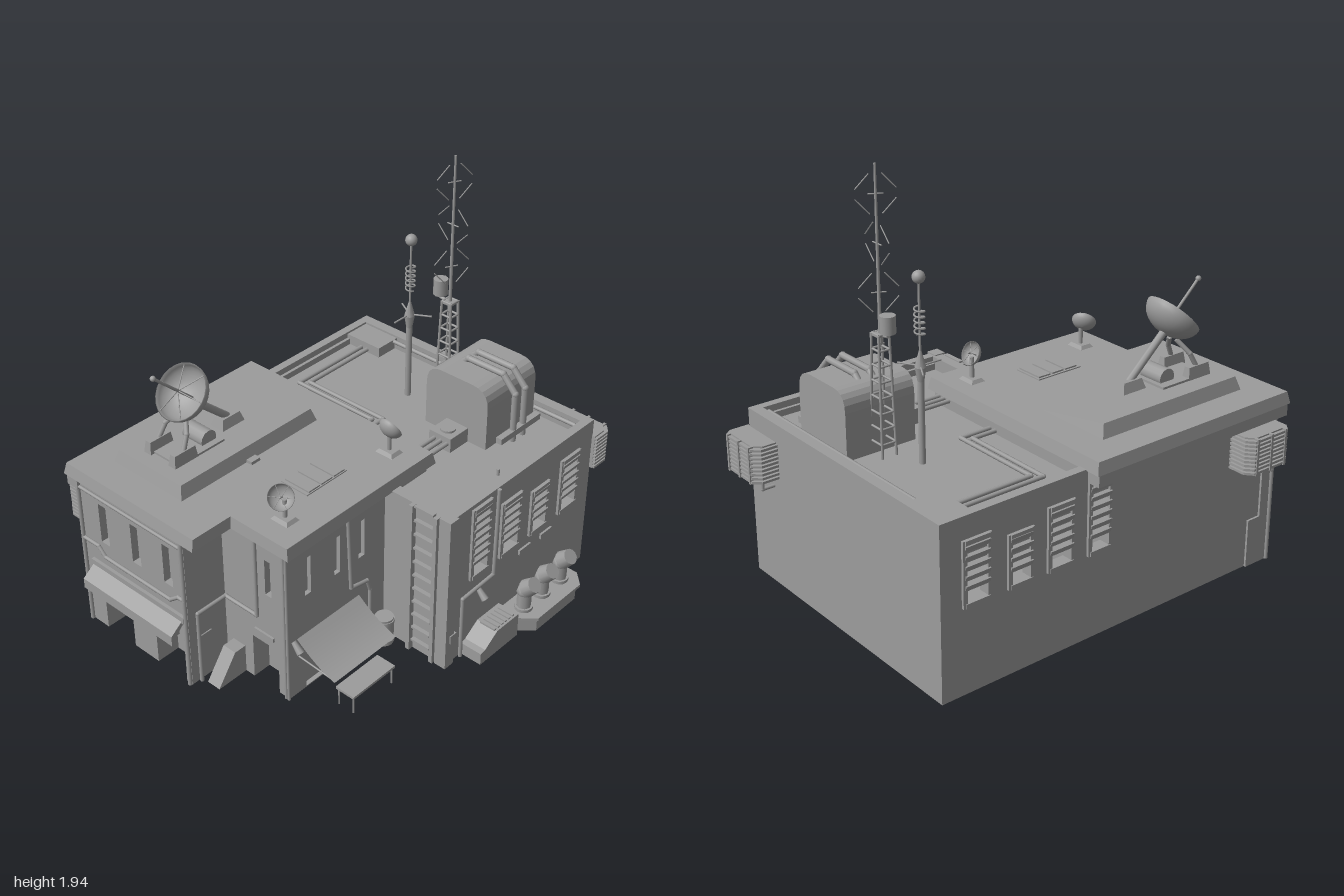
import * as THREE from 'three';

const GREY = 0x9c9c9c;
const mat = new THREE.MeshStandardMaterial({ color: GREY, flatShading: true });
const smooth = new THREE.MeshStandardMaterial({ color: GREY, side: THREE.DoubleSide });
const V = (x, y, z) => new THREE.Vector3(x, y, z);

export function createModel() {
  const root = new THREE.Group();
  const add = (name, geo, parent = root, m = mat) => {
    const mesh = new THREE.Mesh(geo, m);
    mesh.name = name;
    parent.add(mesh);
    return mesh;
  };
  const group = (name, x = 0, y = 0, z = 0, parent = root) => {
    const g = new THREE.Group();
    g.name = name;
    g.position.set(x, y, z);
    parent.add(g);
    return g;
  };
  // box given by its limits; inset narrows the top
  const box = (name, x0, x1, y0, y1, z0, z1, parent = root, inset = 0) => {
    const g = new THREE.BoxGeometry(x1 - x0, y1 - y0, z1 - z0);
    const p = g.attributes.position;
    for (let i = 0; i < p.count; i++) if (inset && p.getY(i) > 0) {
      p.setX(i, p.getX(i) - Math.sign(p.getX(i)) * inset);
      p.setZ(i, p.getZ(i) - Math.sign(p.getZ(i)) * inset);
    }
    g.computeVertexNormals();
    const m = add(name, g, parent);
    m.position.set((x0 + x1) / 2, (y0 + y1) / 2, (z0 + z1) / 2);
    return m;
  };
  const rod = (name, a, b, r, parent = root, r2 = r, sides = 8) => {
    const m = add(name, new THREE.CylinderGeometry(r2, r, a.distanceTo(b), sides), parent, smooth);
    m.position.copy(a).lerp(b, 0.5);
    m.quaternion.setFromUnitVectors(V(0, 1, 0), b.clone().sub(a).normalize());
  };
  const pipe = (name, pts, r, parent = root) => {
    const g = group(name, 0, 0, 0, parent);
    pts = pts.map(p => V(...p));
    pts.slice(1).forEach((p, i) => {
      rod('pipeRun', pts[i], p, r, g);
      if (i < pts.length - 2) add('pipeJoint', new THREE.SphereGeometry(r * 1.1, 8, 6), g, smooth).position.copy(p);
    });
  };
  const outline = pts => new THREE.Shape(pts.map(p => new THREE.Vector2(...p)));
  const rect = ([a, b, c, d]) => [[a, c], [b, c], [b, d], [a, d]];
  const extrude = (shape, depth) =>
    new THREE.ExtrudeGeometry(shape, { depth, bevelEnabled: false, curveSegments: 5 });
  // flat plate drawn as a plan of (x, -z) points, rising from y
  const plate = (name, pts, y, h, parent = root) => {
    const m = add(name, extrude(outline(pts), h), parent);
    m.rotation.x = -Math.PI / 2;
    m.position.y = y;
  };
  // wall with openings, across x at depth z or along z at position x
  const wall = (name, axis, at, thick, limits, holes) => {
    const flip = r => axis === 'x' ? [-r[1], -r[0], r[2], r[3]] : r;
    const s = outline(rect(flip(limits)));
    holes.forEach(h => s.holes.push(new THREE.Path(rect(flip(h)).map(p => new THREE.Vector2(...p)))));
    const m = add(name, extrude(s, thick));
    if (axis === 'x') m.rotation.y = Math.PI / 2;
    m.position[axis] = at;
  };

  // Rear block: open shell with parapet and louvred windows
  const wins = [[-0.14, -0.03, 0.74], [-0.35, -0.23, 0.66], [-0.55, -0.44, 0.61], [-0.77, -0.65, 0.66]];
  const openings = wins.map(([a, b, t]) => [a + 0.01, b - 0.01, 0.41, t]);
  wall('rearRightWall', 'x', 0.61, 0.04, [-0.87, 0.12, 0, 0.78], openings);
  wall('rearLeftWall', 'x', -0.7, 0.04, [-0.87, 0.12, 0, 0.78], openings);
  box('backWall', -0.7, 0.65, 0, 0.78, -0.88, -0.83);
  box('rearFrontWall', 0.28, 0.61, 0, 0.78, 0.07, 0.12);
  box('rearRoof', -0.67, 0.62, 0.68, 0.72, -0.84, 0.1);
  box('floor', -0.69, 0.64, 0, 0.02, -0.87, 0.11);
  box('parapetLedge', -0.66, -0.645, 0.72, 0.75, -0.83, -0.15);
  box('parapetLedge', 0.595, 0.61, 0.72, 0.75, -0.83, 0.07);
  box('parapetLedge', -0.66, 0.61, 0.72, 0.75, -0.83, -0.815);
  for (const s of [1, -1]) wins.forEach(([a, b, t]) => {
    const g = group('louvredWindow', s > 0 ? 0.65 : -0.7, 0, 0);
    for (const z of [a, b]) box('frameSide', -0.012, 0.012, 0.39, t + 0.02, z - 0.01, z + 0.01, g);
    for (const y of [0.4, t + 0.01]) box('frameEnd', -0.016, 0.016, y - 0.01, y + 0.01, a, b, g);
    for (let y = 0.48; y < t; y += 0.042) {
      box('slat', -0.015, 0.015, y - 0.012, y + 0.012, a, b, g).rotation.z = -s * 0.3;
    }
    box('blind', -0.012 - s * 0.01, 0.002 - s * 0.01, t - 0.08, t, a, b, g);
  });

  // Front block: cores set back at the doors, thin outer walls with windows
  box('frontLeftCore', -0.7, -0.07, 0.23, 0.78, 0.1, 0.89);
  box('frontLeftBase', -0.7, -0.07, 0, 0.23, 0.1, 0.81);
  box('frontRightCore', -0.08, 0.28, 0.23, 0.78, 0.1, 0.68);
  box('frontRightBase', -0.08, 0.28, 0, 0.23, 0.1, 0.62);
  wall('frontLeftWall', 'z', 0.87, 0.055, [-0.71, -0.065, 0.23, 0.78],
    [-0.565, -0.365, -0.17].map(x => [x - 0.027, x + 0.027, 0.49, 0.69]));
  for (const [a, b] of [[-0.71, -0.61], [-0.43, -0.28], [-0.1, -0.065]]) box('frontPier', a, b, 0, 0.23, 0.8, 0.925);
  wall('frontRightWall', 'z', 0.67, 0.04, [-0.07, 0.3, 0.23, 0.78], [[0.175, 0.21, 0.5, 0.68]]);
  for (const [a, b] of [[-0.07, 0.09], [0.24, 0.3]]) box('frontPier', a, b, 0, 0.23, 0.61, 0.71);
  wall('frontSideWall', 'x', 0.27, 0.03, [0.1, 0.71, 0, 0.78],
    [[0.29, 0.65, 0.005, 0.2], ...[0.59, 0.415, 0.265].map(z => [z - 0.018, z + 0.018, 0.5, 0.69])]);
  const roofGeo = extrude(outline([[-0.77, 0.16], [-0.77, -0.95], [0.02, -0.95], [0.02, -0.74], [0.34, -0.74], [0.34, 0.16]]), 0.055);
  const rp = roofGeo.attributes.position;
  for (let i = 0; i < rp.count; i++) if (rp.getZ(i) > 0.03) {
    rp.setX(i, (rp.getX(i) + 0.21) * 0.98 - 0.21);
    rp.setY(i, (rp.getY(i) + 0.39) * 0.98 - 0.39);
  }
  roofGeo.computeVertexNormals();
  const roof = add('frontRoof', roofGeo);
  roof.rotation.x = -Math.PI / 2;
  roof.position.y = 0.775;
  box('roofRearWall', -0.7, 0.3, 0.7, 0.78, -0.15, 0.1);
  box('leftFascia', -0.765, -0.7, 0.72, 0.78, -0.15, 0.94);
  box('roofPlatform', -0.62, -0.2, 0.825, 0.89, 0, 0.8, root, 0.02);
  box('roofSmallBox', -0.2, -0.17, 0.83, 0.845, 0.38, 0.43);
  box('roofHatchBase', 0, 0.15, 0.825, 0.835, 0.19, 0.43);
  for (let i = 0; i < 3; i++) box('roofHatch', 0.01, 0.145, 0.83, 0.842, 0.2 + i * 0.075, 0.265 + i * 0.075);

  // Awnings, lamps, table
  const frontAwning = add('frontAwning', extrude(outline([[0.92, 0.36], [0.92, 0.34], [0.99, 0.27], [1, 0.25], [1, 0.3]]), 0.56));
  frontAwning.rotation.y = -Math.PI / 2;
  frontAwning.position.x = -0.09;
  box('awningRail', -0.66, -0.08, 0.335, 0.37, 0.92, 0.94);
  for (const x of [-0.58, -0.375, -0.15]) box('doorLamp', x - 0.025, x + 0.025, 0.25, 0.29, 0.92, 0.95);
  const cloth = new THREE.PlaneGeometry(0.21, 0.38, 8, 1).rotateX(-Math.PI / 2);
  const cp = cloth.attributes.position;
  for (let i = 0; i < cp.count; i++) {
    const t = cp.getX(i) / 0.21 + 0.5;
    cp.setY(i, 0.3 - 0.11 * t + 0.06 * t * (t - 1));
  }
  cloth.computeVertexNormals();
  add('sideAwning', cloth, root, smooth).position.set(0.405, 0, 0.47);
  for (const z of [0.29, 0.65]) rod('awningPole', V(0.3, 0.2, z), V(0.505, 0.188, z), 0.004);
  box('tableTop', 0.46, 0.56, 0.085, 0.097, 0.34, 0.6);
  for (const x of [0.47, 0.55]) for (const z of [0.35, 0.59]) rod('tableLeg', V(x, 0, z), V(x, 0.09, z), 0.004);

  // Wall pipes and small wall fittings
  pipe('frontTopPipe', [[-0.71, 0.73, 0.93], [-0.08, 0.73, 0.93]], 0.008);
  pipe('frontBandPipe', [[-0.71, 0.46, 0.93], [-0.61, 0.46, 0.93], [-0.57, 0.42, 0.93], [-0.16, 0.42, 0.93], [-0.11, 0.46, 0.93], [-0.07, 0.46, 0.93]], 0.009);
  for (const x of [-0.075, -0.71]) pipe('cornerPipe', [[x, 0, 0.93], [x, 0.78, 0.93]], 0.01);
  pipe('cornerWallPipe', [[0.13, 0.78, 0.72], [0.13, 0.37, 0.72], [-0.055, 0.37, 0.72], [-0.055, 0.37, 0.88], [-0.055, 0, 0.88]], 0.009);
  pipe('sidePipe', [[0.31, 0.78, 0.36], [0.31, 0.38, 0.34], [0.31, 0.36, 0.24], [0.31, 0.3, 0.22], [0.31, 0, 0.22]], 0.009);
  pipe('rearSidePipe', [[0.66, 0.78, -0.19], [0.66, 0.33, -0.185], [0.66, 0.32, 0.025], [0.66, 0, 0.025]], 0.009);
  for (const x of [0.285, 0.3]) pipe('frontRightPipe', [[x, 0, 0.715], [x, 0.78, 0.715]], 0.007);
  box('wallLight', 0.11, 0.22, 0.27, 0.29, 0.71, 0.72);
  for (const z of [-0.41, -0.565]) box('sideLight', 0.65, 0.66, 0.32, 0.345, z - 0.04, z + 0.04);
  box('meterBox', 0.65, 0.67, 0.13, 0.17, 0.07, 0.11);
  for (const [x, z] of [[0.31, 0.81], [0.66, -0.095]]) {
    const zz = Math.min(z, 0.68);
    rod('wallLamp', V(x - 0.01, 0.3, zz), V(x + 0.03, 0.26, zz), 0.012, root, 0.018);
  }
  box('fuseBox', -0.04, 0.04, 0, 0.12, 0.71, 0.74);
  const ramp = add('sideVent', extrude(outline([[0.7, 0], [0.87, 0], [0.77, 0.14], [0.7, 0.14]]), 0.07));
  ramp.rotation.y = -Math.PI / 2;
  ramp.position.x = 0.04;
  rod('barrel', V(0.35, 0, 0.17), V(0.35, 0.14, 0.17), 0.042, root, 0.042, 16);
  for (const y of [0.01, 0.115]) rod('barrelBand', V(0.35, y, 0.17), V(0.35, y + 0.015, 0.17), 0.046, root, 0.046, 16);

  // Ladder on the rear block's front
  for (const x of [0.46, 0.59]) box('ladderRail', x - 0.01, x + 0.01, 0, 0.78, 0.12, 0.145);
  for (let y = 0.06; y < 0.78; y += 0.072) box('ladderRung', 0.475, 0.575, y - 0.005, y + 0.005, 0.118, 0.14);
  box('cornerDuct', 0.605, 0.665, 0, 0.785, 0.08, 0.135);

  // Right side vents: chamfered plinth, three bent stacks, sloped duct
  plate('ventPlinth', [[0.64, 0.25], [0.72, 0.25], [0.805, 0.33], [0.805, 0.62], [0.75, 0.68], [0.64, 0.68]], 0, 0.075);
  plate('plinthLip', [[0.64, 0.24], [0.73, 0.24], [0.82, 0.32], [0.82, 0.63], [0.76, 0.69], [0.64, 0.69]], 0.07, 0.015);
  for (const z of [-0.335, -0.465, -0.6]) {
    pipe('ventStack', [[0.725, 0.07, z], [0.725, 0.18, z], [0.75, 0.215, z]], 0.033);
    rod('stackMouth', V(0.735, 0.2, z), V(0.775, 0.24, z), 0.042, root, 0.036, 12);
    rod('stackFoot', V(0.725, 0.08, z), V(0.725, 0.1, z), 0.042, root, 0.042, 12);
  }
  const duct = add('slopedDuct', extrude(outline([[-0.01, 0], [0.25, 0], [0.25, 0.12], [0.1, 0.12], [0.02, 0.065], [-0.01, 0.06]]), 0.11));
  duct.rotation.y = Math.PI / 2;
  duct.position.x = 0.65;
  for (let z = -0.23; z < -0.1; z += 0.025) box('ductSlat', 0.67, 0.75, 0.118, 0.127, z, z + 0.012);

  // Air conditioners on the left wall and on the back
  const cooler = (x, z, turn) => {
    const g = group('airConditioner', x, 0.61, z);
    g.rotation.y = turn;
    const plan = (w, d) => [[-w, 0], [-w, -d + 0.035], [-w + 0.03, -d], [w - 0.03, -d], [w, -d + 0.035], [w, 0]];
    plate('coolerBody', plan(0.115, 0.105), -0.085, 0.17, g);
    for (let i = 0; i < 9; i++) plate('coolerFin', plan(0.128, 0.12), -0.081 + i * 0.0185, 0.011, g);
    for (const u of [-0.085, 0, 0.085]) box('coolerBar', u - 0.006, u + 0.006, -0.085, 0.085, 0.1, 0.124, g);
    pipe('drainPipe', [[0.08, -0.08, 0.06], [0.08, -0.13, 0.06], [0.08, -0.13, 0]], 0.008, g);
  };
  cooler(-0.7, 0.79, -Math.PI / 2);
  cooler(0.55, -0.876, Math.PI);

  // Rear roof machinery
  const tank = new THREE.Shape();
  tank.moveTo(0.05, 0.7);
  tank.lineTo(0.39, 0.7);
  tank.lineTo(0.39, 0.93);
  tank.quadraticCurveTo(0.39, 1.02, 0.3, 1.02);
  tank.lineTo(0.13, 1.02);
  tank.quadraticCurveTo(0.05, 1.02, 0.05, 0.93);
  add('roofTank', extrude(tank, 0.34)).position.z = -0.78;
  for (const z of [-0.65, -0.58]) pipe('tankPipe', [[0.13, 1.0, z], [0.17, 1.035, z], [0.36, 1.035, z], [0.43, 0.96, z], [0.43, 0.7, z]], 0.015);
  box('tankPipeBracket', 0.415, 0.445, 0.75, 0.78, -0.76, -0.48);
  box('tankOutlet', 0.17, 0.29, 0.7, 0.79, -0.44, -0.32);
  rod('outletCap', V(0.23, 0.79, -0.375), V(0.23, 0.8, -0.375), 0.035, root, 0.035, 16);
  for (const x of [0.2, 0.235, 0.27]) pipe('outletPipe', [[x, 0.76, -0.33], [x, 0.76, -0.15]], 0.01);
  box('roofCornerBox', -0.66, -0.46, 0.71, 0.77, -0.83, -0.7);
  for (const d of [0, 0.035]) pipe('roofPipe', [[-0.57 + d, 0.735, -0.7], [-0.57 + d, 0.735, -0.27 - d], [-0.12 + d, 0.735, -0.27 - d], [-0.12 + d, 0.735, -0.15]], 0.01);
  pipe('backRoofPipe', [[-0.46, 0.76, -0.81], [0.6, 0.76, -0.81]], 0.01);
  rod('parapetTip', V(0.66, 0.865, -0.17), V(0.66, 0.895, -0.17), 0.007);

  // Lattice mast with three chevron aerials
  const mast = group('latticeMast', 0.02, 0, -0.62);
  for (const x of [-1, 1]) for (const z of [-1, 1])
    rod('mastLeg', V(x * 0.04, 0.72, z * 0.035), V(x * 0.025, 1.25, z * 0.025), 0.006, mast);
  for (let y = 0.78; y < 1.26; y += 0.067) {
    const w = 0.04 - (y - 0.72) * 0.028;
    for (const s of [-1, 1]) {
      rod('mastBrace', V(-w, y, s * w * 0.9), V(w, y, s * w * 0.9), 0.005, mast);
      rod('mastBrace', V(s * w, y, -w * 0.9), V(s * w, y, w * 0.9), 0.005, mast);
    }
  }
  box('mastTop', -0.028, 0.028, 1.24, 1.25, -0.028, 0.028, mast);
  rod('mastPole', V(0, 1.2, 0), V(0, 1.94, 0), 0.008, mast, 0.005);
  rod('mastDrum', V(-0.055, 1.265, 0), V(-0.055, 1.34, 0), 0.033, mast, 0.033, 12);
  rod('drumArm', V(-0.055, 1.25, 0), V(0, 1.24, 0), 0.008, mast);
  [[1.42, 1.1], [1.62, 0], [1.82, 1.1]].forEach(([y, turn]) => {
    const g = group('chevronAerial', 0, y, 0, mast);
    g.rotation.y = turn;
    rod('aerialBoom', V(-0.03, 0, 0), V(0.03, 0, 0), 0.003, g);
    for (const s of [-1, 1]) for (const t of [-1, 1])
      rod('aerialArm', V(s * 0.08, t * 0.02, 0), V(s * 0.025, t * 0.08, 0), 0.0025, g);
  });

  // Whip aerial with spring and ball
  const whip = group('whipAerial', -0.15, 0, -0.55);
  rod('whipBase', V(0, 0.72, 0), V(0, 1.08, 0), 0.014, whip);
  rod('whipBulge', V(0, 1.08, 0), V(0, 1.14, 0), 0.014, whip, 0.024);
  rod('whipCone', V(0, 1.14, 0), V(0, 1.21, 0), 0.024, whip, 0.005);
  rod('whipRod', V(0, 1.2, 0), V(0, 1.5, 0), 0.005, whip);
  for (let i = 0; i < 3; i++) {
    const a = Math.PI / 2 + i * Math.PI * 2 / 3;
    rod('whipArm', V(0, 1.145, 0), V(Math.cos(a) * 0.1, 1.145, Math.sin(a) * 0.1), 0.004, whip);
  }
  const coil = Array.from({ length: 41 }, (_, i) => V(0.021 * Math.cos(i * 0.8), 1.27 + i * 0.003, 0.021 * Math.sin(i * 0.8)));
  add('whipSpring', new THREE.TubeGeometry(new THREE.CatmullRomCurve3(coil), 100, 0.004, 5), whip, smooth);
  add('whipBall', new THREE.SphereGeometry(0.027, 16, 12), whip, smooth).position.y = 1.515;

  // Dishes: round bowl opening along local y
  const dish = (x, y, z, r, tilt, turn, feed) => {
    const g = group('dish', x, y, z);
    g.rotation.set(tilt, turn, 0, 'YXZ');
    const arc = (radius, depth) => Array.from({ length: 9 }, (_, i) => {
      const a = 0.02 + (i / 8) * (Math.PI / 2 - 0.02);
      return new THREE.Vector2(Math.sin(a) * radius, -Math.cos(a) * depth);
    });
    add('dishBowl', new THREE.LatheGeometry([...arc(r, r * 0.72), ...arc(r * 0.96, r * 0.66).reverse()], 24), g, smooth);
    rod('dishFeed', V(0, -r * 0.66, 0), V(0, feed, 0), r * 0.05, g);
    add('feedTip', new THREE.SphereGeometry(r * 0.1, 10, 8), g, smooth).position.y = feed;
    for (let i = 0; i < 6; i++) {
      const a = i * Math.PI / 3;
      rod('dishStrut', V(Math.cos(a) * r * 0.95, -r * 0.1, Math.sin(a) * r * 0.95), V(0, feed * 0.1, 0), r * 0.02, g);
    }
  };
  dish(-0.41, 1.165, 0.585, 0.128, 0.82, 0, 0.19);
  rod('dishBackArm', V(-0.41, 1.1, 0.53), V(-0.41, 0.91, 0.32), 0.017);
  box('dishArmFoot', -0.45, -0.37, 0.885, 0.935, 0.27, 0.4, root, 0.015);
  box('dishBase', -0.51, -0.32, 0.885, 0.9, 0.44, 0.7);
  rod('dishMotor', V(-0.47, 0.915, 0.5), V(-0.35, 0.915, 0.5), 0.042, root, 0.042, 12);
  for (const s of [-1, 1]) {
    const x = -0.415 + s * 0.075;
    box('dishFoot', x - 0.022, x + 0.022, 0.885, 0.945, 0.59, 0.72, root, 0.008);
    pipe('dishLeg', [[x, 0.94, 0.65], [x - s * 0.01, 1.0, 0.62], [x - s * 0.055, 1.06, 0.58]], 0.011);
  }
  dish(0.19, 0.95, 0.62, 0.056, 1.0, 0.6, 0.02);
  dish(0.195, 0.955, -0.035, 0.055, -1.1, 0, 0.01);
  for (const [z, top] of [[0.6, 0.93], [-0.03, 0.94]]) {
    box('smallDishBase', 0.14, 0.24, 0.825, 0.845, z - 0.04, z + 0.04, root, 0.015);
    rod('smallDishPost', V(0.19, 0.84, z), V(0.19, top, z), 0.01);
  }
  return root;
}
